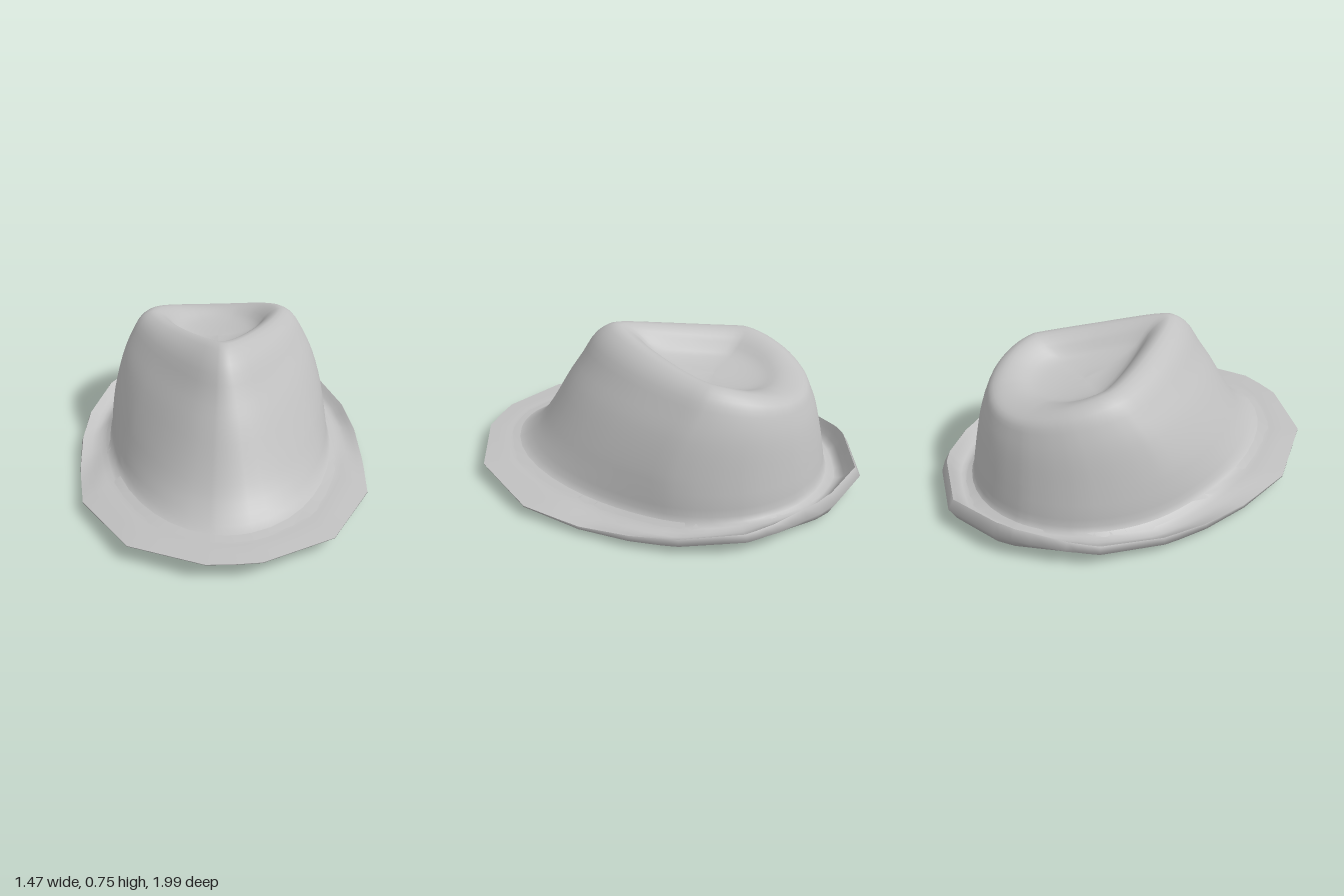
import * as THREE from 'three';

// Rim outline of the right-hand half, from back to front: [x, z]
const RIM = [[0, -1], [0.28, -0.91], [0.36, -0.86], [0.54, -0.69], [0.63, -0.57], [0.72, -0.28],
  [0.737, -0.05], [0.72, 0.2], [0.675, 0.5], [0.45, 0.84], [0.12, 0.985], [0, 0.99]];

// Height of the brim's lip and of its underside along z: [z, y]
const LIP = [[-1, 0.15], [-0.9, 0.165], [-0.6, 0.11], [-0.2, 0.075], [0.2, 0.047], [0.6, 0.07], [0.99, 0.1]];
const UNDER = [[-0.96, 0.035], [-0.65, 0.045], [-0.45, 0.025], [-0.2, 0.003], [0.2, 0.013], [0.55, 0.055], [0.8, 0.078], [0.99, 0.092]];

// Crown rings from the dent outwards: half width, front z, back z, widest z,
// front pinch, then height at front, side and back
const RINGS = [
  [0.00, -0.24, -0.24, -0.24, 0.0, 0.555, 0.555, 0.555],
  [0.10, -0.08, -0.38, -0.25, 0.5, 0.58, 0.558, 0.55],
  [0.20, 0.07, -0.48, -0.27, 0.6, 0.635, 0.58, 0.555],
  [0.27, 0.17, -0.56, -0.30, 0.6, 0.72, 0.64, 0.57],
  [0.335, 0.27, -0.64, -0.30, 0.58, 0.757, 0.672, 0.56],
  [0.40, 0.37, -0.695, -0.28, 0.45, 0.70, 0.645, 0.535],
  [0.455, 0.45, -0.725, -0.25, 0.36, 0.58, 0.565, 0.48],
  [0.505, 0.53, -0.755, -0.20, 0.28, 0.46, 0.46, 0.40],
  [0.55, 0.63, -0.785, -0.15, 0.17, 0.29, 0.30, 0.28],
  [0.57, 0.71, -0.805, -0.15, 0.08, 0.185, 0.18, 0.18],
  [0.587, 0.82, -0.83, -0.15, 0.0, 0.108, 0.075, 0.085]];

function lookup(table, z) {
  if (z <= table[0][0]) return table[0][1];
  for (let i = 1; i < table.length; i++) {
    const [z0, y0] = table[i - 1], [z1, y1] = table[i];
    if (z <= z1) return y0 + (y1 - y0) * (z - z0) / (z1 - z0);
  }
  return table[table.length - 1][1];
}

function ringPoint([w, zf, zb, zc, pinch, yf, ys, yb], t) {
  const c = Math.cos(t), k = Math.abs(c);
  const x = w * Math.sin(t) * (1 - pinch * Math.max(0, c));
  const z = zc + (c > 0 ? zf - zc : zc - zb) * c;
  const y = ys + ((c > 0 ? yf : yb) - ys) * k ** 1.5;
  return new THREE.Vector3(x, y, z);
}

// Closed band of quads through columns of points
function skin(columns) {
  const n = columns.length, m = columns[0].length, pos = [], index = [];
  columns.forEach(col => col.forEach(p => pos.push(p.x, p.y, p.z)));
  for (let i = 0; i < n; i++) {
    for (let j = 0; j < m - 1; j++) {
      const a = i * m + j, b = ((i + 1) % n) * m + j;
      index.push(a, b, a + 1, b, b + 1, a + 1);
    }
  }
  const geo = new THREE.BufferGeometry();
  geo.setAttribute('position', new THREE.Float32BufferAttribute(pos, 3));
  geo.setIndex(index);
  geo.computeVertexNormals();
  return geo;
}

export function createModel() {
  const group = new THREE.Group();
  group.name = 'hat';
  const felt = new THREE.MeshStandardMaterial({ color: 0xc0c0c0, side: THREE.DoubleSide });
  felt.name = 'grey felt';

  // Full rim, mirrored and subdivided along its straight edges
  const loop = [...RIM, ...RIM.slice(1, -1).reverse().map(([x, z]) => [-x, z])];
  const outline = [];
  loop.forEach(([x, z], i) => {
    const [x1, z1] = loop[(i + 1) % loop.length];
    for (let s = 0; s < 3; s++) outline.push([x + (x1 - x) * s / 3, z + (z1 - z) * s / 3]);
  });

  const crownColumns = [], brimColumns = [], underColumns = [];
  const steps = 3;
  for (const [x, z] of outline) {
    const t = Math.atan2(x / 0.737, z + 0.03);
    const back = THREE.MathUtils.clamp(0.3 - z, 0, 1);
    const lipY = lookup(LIP, z), lowY = lookup(UNDER, z);
    const inset = 1 - 0.03 * back;
    const lip = new THREE.Vector3(x * inset, lipY, z * inset);
    const edge = new THREE.Vector3(x, lowY + (lipY - lowY) * 0.6, z);
    const low = new THREE.Vector3(x * 0.91, lowY, z * 0.965);
    const rings = RINGS.map(r => ringPoint(r, t));
    const base = rings[rings.length - 1];
    const gutter = base.clone().lerp(lip, 0.5);
    gutter.y = Math.min(gutter.y, lowY + 0.035);

    // One smooth curve from the dent over the crown and out to the lip
    const path = new THREE.CatmullRomCurve3([...rings, gutter, lip]);
    const spans = rings.length + 1, col = path.getPoints(spans * steps);
    const cut = (rings.length - 1) * steps;
    crownColumns.push(col);
    brimColumns.push(cut);
    underColumns.push([lip, edge, low, base.clone()]);
  }

  // Crown with its pinched dent, flowing into the upturned brim
  const crown = new THREE.Mesh(skin(crownColumns), felt);
  crown.name = 'crownAndBrimTop';
  // Rolled outer edge and underside of the brim, open in the middle
  const under = new THREE.Mesh(skin(underColumns), felt);
  under.name = 'brimUnderside';
  group.add(crown, under);
  return group;
}
